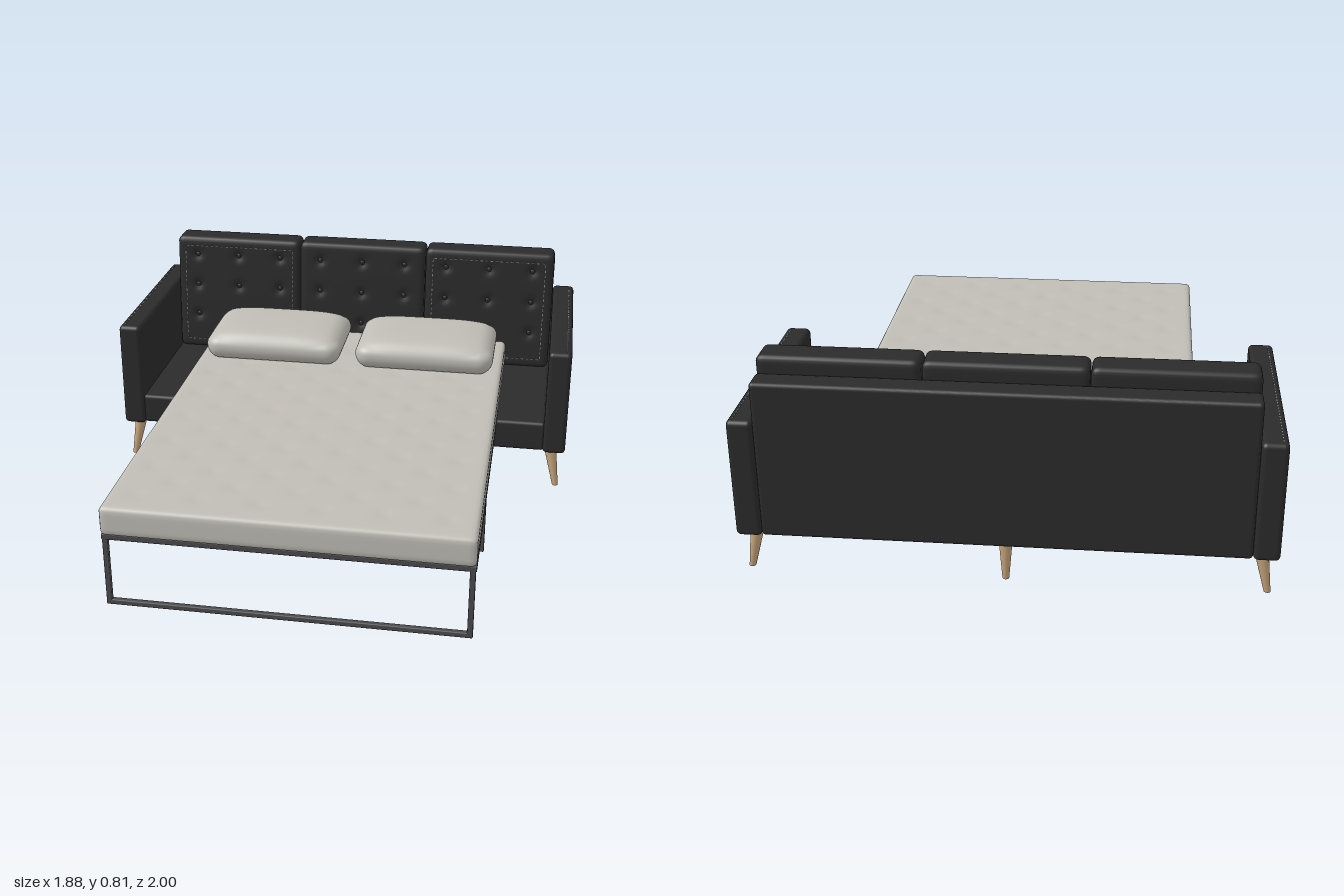
import * as THREE from 'three';
import { mergeGeometries, mergeVertices } from 'three/addons/utils/BufferGeometryUtils.js';
import { RoundedBoxGeometry } from 'three/addons/geometries/RoundedBoxGeometry.js';

const mat = (name, color) => new THREE.MeshStandardMaterial({ name, color });

// Finely divided box with rounded edges; shape(p) may then move each vertex.
function softBox(w, h, d, r, step, shape) {
  const n = (s) => Math.max(4, Math.round(s / step));
  let g = new THREE.BoxGeometry(w, h, d, n(w), n(h), n(d));
  g.deleteAttribute('uv');
  g.deleteAttribute('normal');
  g = mergeVertices(g, 1e-5);
  const half = new THREE.Vector3(w / 2 - r, h / 2 - r, d / 2 - r);
  const low = half.clone().negate();
  const p = new THREE.Vector3(), q = new THREE.Vector3();
  const pos = g.attributes.position;
  for (let i = 0; i < pos.count; i++) {
    p.fromBufferAttribute(pos, i);
    q.copy(p).clamp(low, half);
    p.sub(q).setLength(r).add(q);
    if (shape) shape(p);
    pos.setXYZ(i, p.x, p.y, p.z);
  }
  g.computeVertexNormals();
  return g;
}

// Row of short thread dashes between two points.
function dashes(a, b) {
  const dir = b.clone().sub(a), length = dir.length();
  const turn = new THREE.Quaternion().setFromUnitVectors(new THREE.Vector3(0, 0, 1), dir.clone().normalize());
  const count = Math.round(length / 0.022), list = [];
  for (let i = 0; i < count; i++) {
    const c = a.clone().lerp(b, (i + 0.5) / count);
    list.push(new THREE.BoxGeometry(0.003, 0.003, 0.012).applyQuaternion(turn).translate(c.x, c.y, c.z));
  }
  return mergeGeometries(list);
}

export function createModel() {
  const root = new THREE.Group();
  root.name = 'sofaBed';
  const leather = mat('black leather', 0x2b2b2b);
  const linen = mat('linen', 0xbfbdb5);
  const metal = mat('frame metal', 0x4a4a4c);
  const wood = mat('light wood', 0xc8a67c);
  const thread = mat('thread', 0x858585);

  const add = (name, geo, material, x = 0, y = 0, z = 0) => {
    const m = new THREE.Mesh(geo, material);
    m.name = name;
    m.position.set(x, y, z);
    root.add(m);
    return m;
  };
  // Rounded box given by its limits on each axis
  const block = (name, material, x0, x1, y0, y1, z0, z1, r) =>
    add(name, new RoundedBoxGeometry(x1 - x0, y1 - y0, z1 - z0, 3, r), material,
      (x0 + x1) / 2, (y0 + y1) / 2, (z0 + z1) / 2);
  const V = (x, y, z) => new THREE.Vector3(x, y, z);

  // Sofa body
  block('seatBase', leather, -0.855, 0.855, 0.16, 0.285, -0.95, -0.175, 0.015);
  block('backPanel', leather, -0.848, 0.848, 0.16, 0.745, -1, -0.905, 0.015);
  for (const s of [-1, 1]) {
    const a = s * 0.848, b = s * 0.94;
    block('arm', leather, Math.min(a, b), Math.max(a, b), 0.155, 0.6, -1, -0.165, 0.018);
    add('armStitching', dashes(V(s * 0.92, 0.6, -0.98), V(s * 0.92, 0.6, -0.19)), thread);
  }

  // Tufted back cushions, leaning back towards the top
  const frontZ = (y) => -0.755 - 0.035 * (y - 0.285) / 0.52;
  const tuftX = [-0.19, 0, 0.19], tuftY = [-0.1, 0.04, 0.18];
  const tuft = (p) => {
    const lean = 0.035 * (p.y + 0.26) / 0.52 * (p.z + 0.0775) / 0.155;
    if (p.z > 0.05) {
      for (const x of tuftX) for (const y of tuftY) {
        const d2 = (p.x - x) ** 2 + (p.y - y) ** 2;
        p.z -= 0.012 * Math.exp(-d2 / 0.0005);
      }
    }
    p.z -= lean;
  };
  const button = new THREE.SphereGeometry(0.011, 12, 8).scale(1, 1, 0.5);
  for (const cx of [-0.565, 0, 0.565]) {
    add('backCushion', softBox(0.562, 0.52, 0.155, 0.025, 0.011, tuft), leather, cx, 0.545, -0.8325);
    for (const x of tuftX) for (const y of tuftY)
      add('tuftButton', button, leather, cx + x, 0.545 + y, frontZ(0.545 + y) - 0.009);
  }

  // Stitched outlines on the two outer cushions
  for (const s of [-1, 1]) {
    const corner = (x, y) => V(s * x, y, frontZ(y) + 0.001);
    const c = [corner(0.81, 0.325), corner(0.81, 0.765), corner(0.317, 0.765), corner(0.317, 0.325)];
    add('cushionStitching', mergeGeometries(c.map((p, i) => dashes(p, c[(i + 1) % 4]))), thread);
  }

  // Mattress with shallow quilting on top
  const quilt = (p) => {
    if (p.y > 0.04) {
      const gx = Math.cos(p.x * Math.PI / 0.11), gz = Math.cos(p.z * Math.PI / 0.11);
      const inside = Math.abs(p.x) < 0.6 && Math.abs(p.z) < 0.82 ? 1 : 0;
      p.y -= inside * 0.004 * Math.max(0, gx * gz) ** 2;
    }
  };
  add('mattress', softBox(1.31, 0.113, 1.78, 0.02, 0.014, quilt), linen, 0, 0.3435, 0.11);

  // Pillows, flat below and crowned above
  const crown = (p) => {
    const u = Math.abs(p.x) / 0.293, v = Math.abs(p.z) / 0.2;
    if (p.y > -0.02) p.y -= (p.y + 0.02) * 0.3 * Math.min(1, u ** 4 + v ** 4);
  };
  for (const s of [-1, 1])
    add('pillow', softBox(0.585, 0.135, 0.4, 0.06, 0.013, crown), linen, s * 0.325, 0.465, -0.535);

  // Pull-out frame: side rails and two looped supports
  for (const s of [-1, 1])
    block('sideRail', metal, s * 0.645 - 0.01, s * 0.645 + 0.01, 0.265, 0.287, -0.3, 0.985, 0.004);
  for (const z of [0.395, 0.975]) {
    for (const s of [-1, 1])
      block('supportLeg', metal, s * 0.642 - 0.01, s * 0.642 + 0.01, 0, 0.275, z - 0.01, z + 0.01, 0.004);
    block('floorBar', metal, -0.65, 0.65, 0, 0.02, z - 0.01, z + 0.01, 0.004);
    block('crossBar', metal, -0.65, 0.65, 0.265, 0.287, z - 0.01, z + 0.01, 0.004);
  }

  // Tapered wooden legs; corner legs splay outwards
  for (const [zTop, zFoot] of [[-0.215, -0.197], [-0.933, -0.938]]) {
    for (const s of [-1, 0, 1]) {
      const g = new THREE.CylinderGeometry(0.026, 0.012, 0.17, 20);
      const pos = g.attributes.position;
      for (let i = 0; i < pos.count; i++) {
        const t = 0.5 - pos.getY(i) / 0.17;
        pos.setX(i, pos.getX(i) + s * (0.878 + 0.032 * t));
        pos.setZ(i, pos.getZ(i) + zTop + (zFoot - zTop) * t);
      }
      g.computeVertexNormals();
      add('woodenLeg', g, wood, 0, 0.085, 0);
    }
  }
  return root;
}
